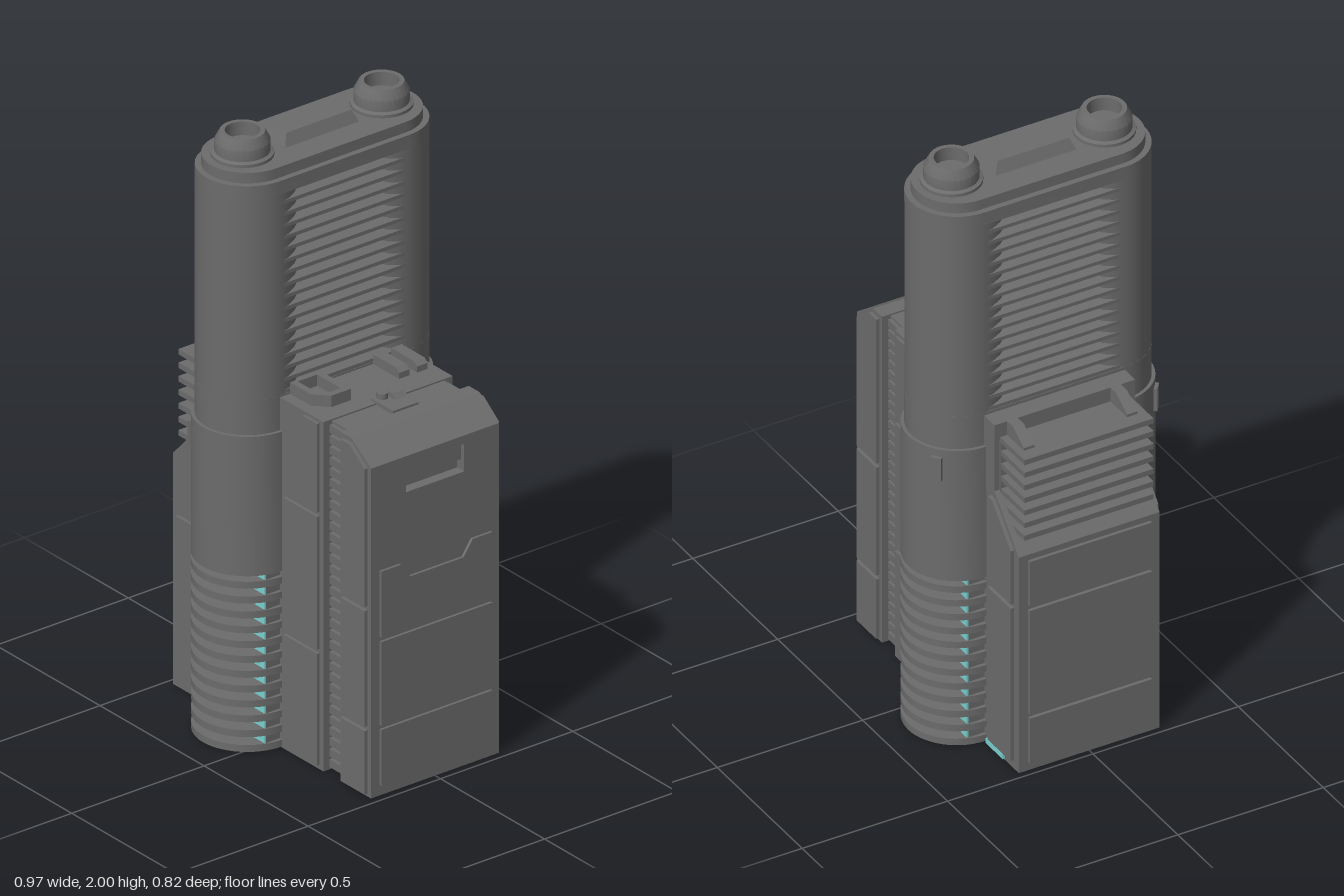
import * as THREE from 'three';
import { toCreasedNormals } from 'three/addons/utils/BufferGeometryUtils.js';

export function createModel() {
  const model = new THREE.Group();
  const grey = new THREE.MeshStandardMaterial({ color: 0x6c6c6c });
  grey.name = 'graphite grey';
  const cyan = new THREE.MeshStandardMaterial({ color: 0x7ad2d2 });
  cyan.name = 'glow cyan';

  const add = (name, geometry, material = grey) => {
    const mesh = new THREE.Mesh(geometry, material);
    mesh.name = name;
    model.add(mesh);
    return mesh;
  };
  // Box given by its min and max on each axis
  const box = (name, x0, x1, y0, y1, z0, z1, material) =>
    add(name, new THREE.BoxGeometry(x1 - x0, y1 - y0, z1 - z0)
      .translate((x0 + x1) / 2, (y0 + y1) / 2, (z0 + z1) / 2), material);
  const outline = (pts) => new THREE.Shape(pts.map(([x, y]) => new THREE.Vector2(x, y)));
  const extrude = (shape, depth) =>
    new THREE.ExtrudeGeometry(shape, { depth, bevelEnabled: false, curveSegments: 14 });
  // Outline in x,y swept along z
  const prism = (name, pts, z0, z1) => add(name, extrude(outline(pts), z1 - z0).translate(0, 0, z0));
  // Outline in z,y swept along x
  const sidePlate = (name, shape, x0, x1) =>
    add(name, extrude(shape, x1 - x0).rotateY(Math.PI / 2).translate(x0, 0, 0));

  // Tower: rounded-end slabs stacked along y
  const CX = -0.117, CZ = 0.245;
  const stadium = (name, r, y0, y1) => {
    const s = new THREE.Shape();
    s.absarc(0, CZ, r, 0, Math.PI, false);
    s.absarc(0, -CZ, r, Math.PI, Math.PI * 2, false);
    s.closePath();
    return add(name, toCreasedNormals(
      extrude(s, y1 - y0).rotateX(-Math.PI / 2).translate(CX, y0, 0), 0.6));
  };
  stadium('towerSleeve', 0.167, 0.59, 1.055);
  stadium('towerWaist', 0.156, 1.05, 1.17);
  stadium('towerTop', 0.156, 1.84, 1.885);
  stadium('towerLip', 0.137, 1.885, 1.92);
  for (let i = 0; i < 12; i++) {
    const y = 0.004 + i * 0.0495;
    stadium('coolingFin', 0.167, y, y + 0.023);
  }
  box('towerCore', CX - 0.125, CX + 0.125, 1.16, 1.85, -CZ, CZ);
  box('finCore', CX - 0.155, CX + 0.155, 0.004, 0.6, -0.295, 0.295);

  // Angled vent slats on both broad faces of the tower
  for (const s of [-1, 1]) {
    for (let i = 0; i < 17; i++) {
      const y = 1.17 + i * 0.0395;
      const pts = [[0.12, y], [0.154, y], [0.154, y + 0.012], [0.12, y + 0.03]]
        .map(([x, h]) => [CX + s * x, h]);
      prism('ventSlat', pts, -CZ, CZ);
    }
  }

  for (const s of [-1, 1]) {
    // Tower side column and its hollow cap
    add('towerColumn', new THREE.CylinderGeometry(0.156, 0.156, 0.72, 28, 1, true)
      .translate(CX, 1.5, s * CZ));
    const profile = [[0.095, 1.915], [0.095, 1.93], [0.084, 1.935], [0.084, 1.97], [0.068, 2],
      [0.053, 2], [0.053, 1.955], [0, 1.955]].map(([r, y]) => new THREE.Vector2(r, y));
    add('towerCap', toCreasedNormals(new THREE.LatheGeometry(profile, 28), 0.5)
      .translate(CX, 0, s * 0.263));

    // Glowing strips behind the fins
    for (const [a, b] of [[-0.271, -0.138], [-0.096, 0.037]]) {
      box('glowStrip', a, b, 0.01, 0.59, s * 0.298 - 0.003, s * 0.298 + 0.003, cyan);
    }
    // Small catch on the sleeve
    const tab = add('sleeveCatch', new THREE.BoxGeometry(0.035, 0.08, 0.02));
    tab.position.set(CX - 0.106, 0.99, s * (CZ + 0.13));
    tab.rotation.y = -s * 0.68;
  }
  box('rearGlow', -0.4, -0.3, 0.008, 0.026, -0.252, -0.244, cyan);

  // Bevelled plate on the tower top
  const plate = new THREE.BoxGeometry(0.1, 0.04, 0.28);
  const p = plate.attributes.position;
  for (let i = 0; i < p.count; i++) {
    if (p.getY(i) > 0) p.setXYZ(i, p.getX(i) * 0.64, p.getY(i), p.getZ(i) * 0.88);
  }
  plate.computeVertexNormals();
  add('towerTopPlate', plate.translate(CX, 1.938, 0));

  // Left-hand body blocks
  prism('ventHousing', [[-0.478, 0], [-0.29, 0], [-0.29, 0.95], [-0.31, 0.95], [-0.478, 0.77]],
    -0.242, 0.242);
  box('ventBack', -0.34, -0.27, 0.8, 1.1, -0.225, 0.225);
  box('ventWall', -0.334, -0.27, 0.9, 1.16, -0.242, 0.242);
  box('bodyCore', -0.3, 0.06, 0.004, 1.16, -0.24, 0.24);
  for (let i = 0; i < 7; i++) {
    const y = 0.823 + i * 0.045;
    box('exhaustSlat', -0.477, -0.33, y, y + 0.018, -0.222, 0.222);
  }
  for (const z of [-0.18, 0.175]) {
    prism('exhaustBracket', [[-0.432, 1.1], [-0.33, 1.1], [-0.33, 1.16], [-0.37, 1.16], [-0.432, 1.12]],
      z - 0.018, z + 0.018);
  }

  // Right-hand body blocks
  box('midBody', 0.04, 0.248, 0, 1.165, -0.244, 0.244);
  box('grooveCore', 0.24, 0.34, 0, 1.16, -0.212, 0.212);
  prism('endBody', [[0.328, 0], [0.44, 0], [0.44, 1.1], [0.474, 1.1], [0.38, 1.165], [0.328, 1.165]],
    -0.242, 0.242);
  for (let i = 0; i < 32; i++) {
    const y = 0.01 + i * 0.036;
    box('grooveRib', 0.252, 0.324, y, y + 0.026, -0.224, 0.224);
  }

  // End plate with grip recess
  const endShape = outline([[-0.242, 0], [0.242, 0], [0.242, 1.1], [-0.242, 1.1]]);
  endShape.holes.push(new THREE.Path(
    [[-0.11, 0.98], [-0.11, 1.072], [0.11, 1.072], [0.11, 0.98]].map(([x, y]) => new THREE.Vector2(x, y))));
  sidePlate('endPlate', endShape, 0.44, 0.474);
  box('gripBar', 0.44, 0.466, 1.02, 1.07, -0.105, 0.105);

  // Raised panels on the front and back
  const panels = [
    [[-0.45, 0.03], [-0.315, 0.03], [-0.315, 0.575], [-0.45, 0.575]],
    [[-0.45, 0.59], [-0.315, 0.59], [-0.315, 0.9], [-0.34, 0.9], [-0.45, 0.78]],
    [[0.067, 0.015], [0.23, 0.015], [0.23, 0.388], [0.067, 0.388]],
    [[0.067, 0.402], [0.23, 0.402], [0.23, 0.845], [0.067, 0.845]],
    [[0.067, 0.859], [0.23, 0.859], [0.23, 1.155], [0.16, 1.155], [0.067, 1.07]],
    [[0.342, 0.01], [0.458, 0.01], [0.458, 0.222], [0.342, 0.222]],
    [[0.342, 0.236], [0.458, 0.236], [0.458, 0.622], [0.342, 0.622]],
    [[0.342, 0.636], [0.458, 0.636], [0.458, 1.095], [0.385, 1.15], [0.342, 1.15]],
  ];
  for (const pts of panels) {
    prism('frontPanel', pts, 0.24, 0.254);
    prism('backPanel', pts, -0.254, -0.24);
  }

  // Raised panels on both ends
  const rect = (y0, y1) => outline([[-0.21, y0], [0.21, y0], [0.21, y1], [-0.21, y1]]);
  sidePlate('endPanel', rect(0.035, 0.222), 0.472, 0.483);
  sidePlate('endPanel', rect(0.236, 0.515), 0.472, 0.483);
  sidePlate('notchedPanel', outline([[-0.21, 0.53], [0.21, 0.53], [0.21, 0.75], [0.135, 0.75],
    [0.1, 0.7], [-0.1, 0.7], [-0.135, 0.75], [-0.21, 0.75]]), 0.472, 0.483);
  sidePlate('ventEndPanel', rect(0.03, 0.19), -0.489, -0.475);
  sidePlate('ventEndPanel', rect(0.204, 0.575), -0.489, -0.475);
  sidePlate('ventEndPanel', rect(0.59, 0.75), -0.489, -0.475);

  // Top fittings: two rails, a loop handle and a clip
  for (const z of [-0.195, -0.127]) {
    prism('topRail', [[0.04, 1.16], [0.165, 1.16], [0.165, 1.185], [0.15, 1.197], [0.04, 1.197]],
      z - 0.02, z + 0.02);
  }
  const loop = outline([[0.04, 0.09], [0.185, 0.09], [0.185, 0.165], [0.14, 0.207], [0.04, 0.207]]);
  loop.holes.push(new THREE.Path([[0.05, 0.112], [0.05, 0.185], [0.13, 0.185], [0.163, 0.155],
    [0.163, 0.112]].map(([x, y]) => new THREE.Vector2(x, y))));
  add('topLoop', extrude(loop, 0.04).rotateX(Math.PI / 2).translate(0, 1.203, 0));
  box('clipBase', 0.22, 0.33, 1.15, 1.172, -0.05, 0.045);
  prism('clipRidge', [[0.22, 1.17], [0.28, 1.17], [0.262, 1.188], [0.235, 1.188]], -0.05, -0.005);
  add('clipPin', new THREE.CylinderGeometry(0.017, 0.017, 0.03, 16).translate(0.24, 1.175, 0.015));

  return model;
}
